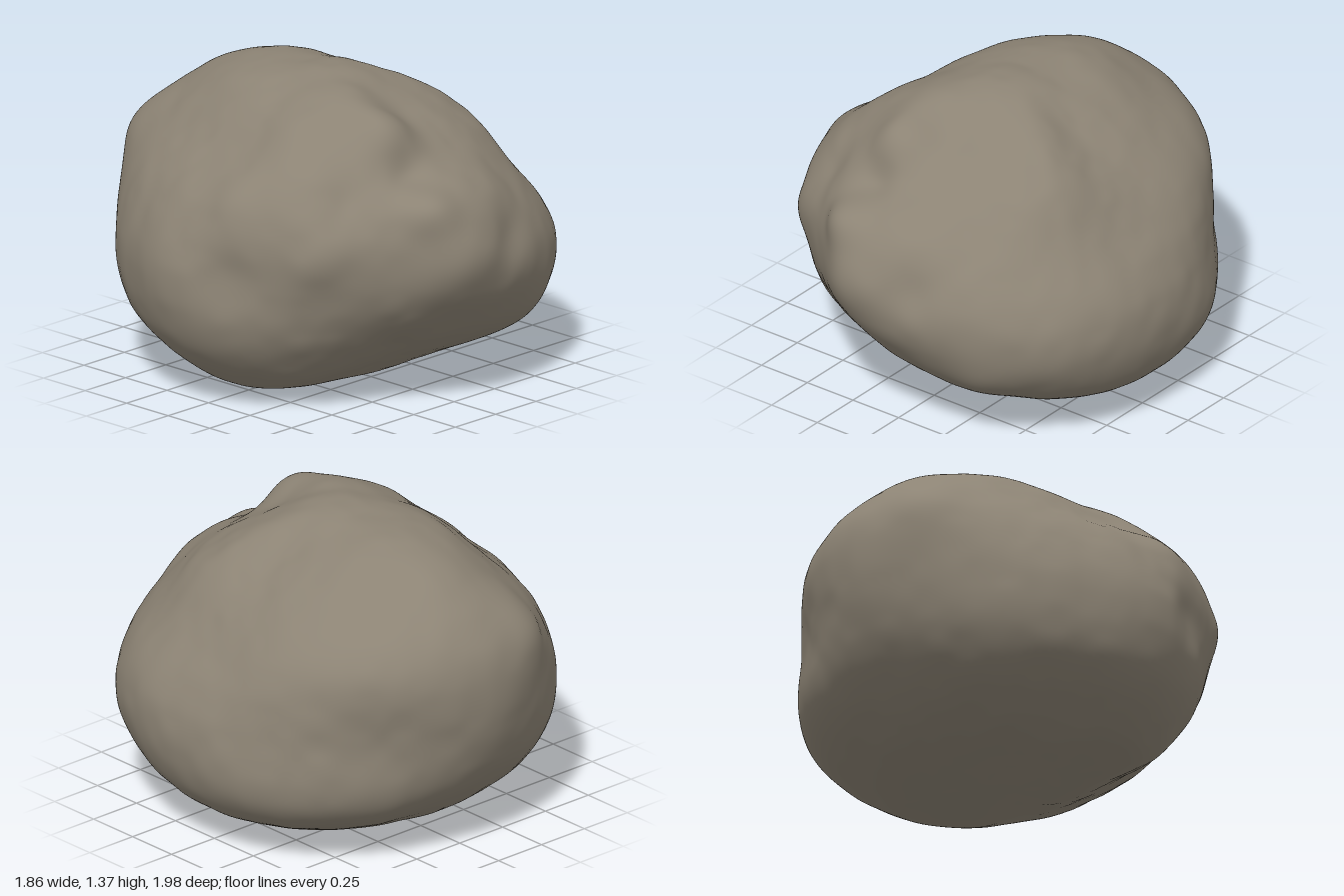
import * as THREE from 'three';
import { mergeVertices } from 'three/addons/utils/BufferGeometryUtils.js';

// Distance from the core to the surface. One row per 30 degrees of azimuth
// (from +x towards +z), columns at latitudes -60 to 60 in steps of 20.
const RADII = [
  [0.64, 0.82, 0.95, 0.91, 0.78, 0.73, 0.71],
  [0.64, 0.80, 0.95, 0.96, 0.82, 0.79, 0.76],
  [0.62, 0.73, 0.91, 0.96, 0.87, 0.79, 0.74],
  [0.64, 0.69, 0.82, 0.95, 0.93, 0.78, 0.73],
  [0.65, 0.70, 0.78, 0.87, 0.89, 0.82, 0.79],
  [0.67, 0.79, 0.85, 0.86, 0.88, 0.83, 0.78],
  [0.68, 0.83, 0.92, 0.92, 0.85, 0.75, 0.75],
  [0.68, 0.80, 0.91, 0.91, 0.85, 0.77, 0.77],
  [0.68, 0.79, 0.90, 0.94, 0.93, 0.85, 0.81],
  [0.67, 0.78, 0.89, 0.97, 1.02, 0.94, 0.84],
  [0.66, 0.79, 0.92, 0.91, 0.97, 0.87, 0.81],
  [0.65, 0.81, 0.95, 0.90, 0.88, 0.79, 0.75],
];
const BOTTOM = 0.58, TOP = 0.76, CORE_Y = 0.6;

// Local lumps (+) and hollows (-): x, y, z, height, angular width
const BUMPS = [
  [-0.15, 0.72, 1.0, 0.05, 0.17],
  [-0.25, 0.97, 0.9, 0.07, 0.13],
  [0.2, 0.75, 0.9, -0.03, 0.12],
  [-0.18, 1.24, 0.54, 0.08, 0.18],
  [-0.2, 1.32, 0.33, 0.02, 0.2],
  [-0.2, 1.04, 0.68, -0.04, 0.12],
  [-0.5, 0.97, 0.58, -0.03, 0.12],
  [-0.77, 0.96, 0.15, 0.025, 0.15],
  [-0.84, 0.62, 0.2, -0.03, 0.15],
  [-0.68, 0.72, 0.58, 0.03, 0.15],
  [-0.28, 0.25, 0.7, -0.015, 0.12],
  [0.3, 0.9, 0.65, -0.015, 0.15],
  [0.45, 0.36, 0.75, 0.02, 0.15],
  [0.7, 0.5, 0.64, 0.02, 0.18],
  [-0.3, 0.98, -0.9, 0.05, 0.18],
  [-0.1, 0.0, -0.1, -0.03, 0.3],
  [-0.36, 0.0, -0.15, 0.03, 0.18],
].map(([x, y, z, h, w]) => ({ dir: new THREE.Vector3(x, y - CORE_Y, z).normalize(), h, w }));

function spline(a, b, c, d, t) {
  return b + 0.5 * t * (c - a + t * (2 * a - 5 * b + 4 * c - d + t * (3 * (b - c) + d - a)));
}

function sampleColumn(col, s) {
  const row = [BOTTOM, ...RADII[(col + 12) % 12], TOP];
  const i = Math.min(Math.floor(s), 7);
  const at = k => row[Math.max(0, Math.min(8, k))];
  return spline(at(i - 1), at(i), at(i + 1), at(i + 2), s - i);
}

function baseRadius(d) {
  const lat = THREE.MathUtils.radToDeg(Math.asin(THREE.MathUtils.clamp(d.y, -1, 1)));
  const s = THREE.MathUtils.clamp((lat + 80) / 20, 0, 8);
  const az = ((Math.atan2(d.z, d.x) / (Math.PI * 2) + 1) % 1) * 12;
  const i = Math.floor(az);
  return spline(...[-1, 0, 1, 2].map(k => sampleColumn(i + k, s)), az - i);
}

// Smooth seeded value noise, about -1 to 1
function hash(x, y, z) {
  const n = Math.sin(x * 127.1 + y * 311.7 + z * 74.7) * 43758.5453;
  return (n - Math.floor(n)) * 2 - 1;
}

function noise(x, y, z) {
  const p = [x, y, z].map(Math.floor);
  const f = [x - p[0], y - p[1], z - p[2]].map(t => t * t * t * (t * (t * 6 - 15) + 10));
  let sum = 0;
  for (let k = 0; k < 8; k++) {
    const o = [k & 1, (k >> 1) & 1, k >> 2];
    const w = o.reduce((a, b, j) => a * (b ? f[j] : 1 - f[j]), 1);
    sum += w * hash(p[0] + o[0], p[1] + o[1], p[2] + o[2]);
  }
  return sum;
}

function surfaceRadius(d) {
  let r = baseRadius(d);
  for (const b of BUMPS) {
    const a = d.angleTo(b.dir) / b.w;
    r += b.h * Math.exp(-a * a);
  }
  r += 0.007 * noise(d.x * 4 + 7, d.y * 4 + 3, d.z * 4 + 5);
  r += 0.003 * noise(d.x * 9 + 1, d.y * 9 + 8, d.z * 9 + 2);
  return r;
}

export function createModel() {
  const group = new THREE.Group();
  group.name = 'rock';
  const stone = new THREE.MeshStandardMaterial({ color: 0x8c8374 });
  stone.name = 'stone';

  // Even sphere pushed out to the boulder's surface, with shared vertices for smooth shading
  let geometry = new THREE.IcosahedronGeometry(1, 48);
  geometry.deleteAttribute('normal');
  geometry.deleteAttribute('uv');
  geometry = mergeVertices(geometry, 1e-5);
  const pos = geometry.attributes.position;
  const d = new THREE.Vector3();
  for (let i = 0; i < pos.count; i++) {
    d.fromBufferAttribute(pos, i).normalize();
    d.multiplyScalar(surfaceRadius(d));
    pos.setXYZ(i, d.x, d.y + CORE_Y, d.z);
  }
  geometry.computeVertexNormals();

  const boulder = new THREE.Mesh(geometry, stone);
  boulder.name = 'boulder';
  group.add(boulder);
  return group;
}
